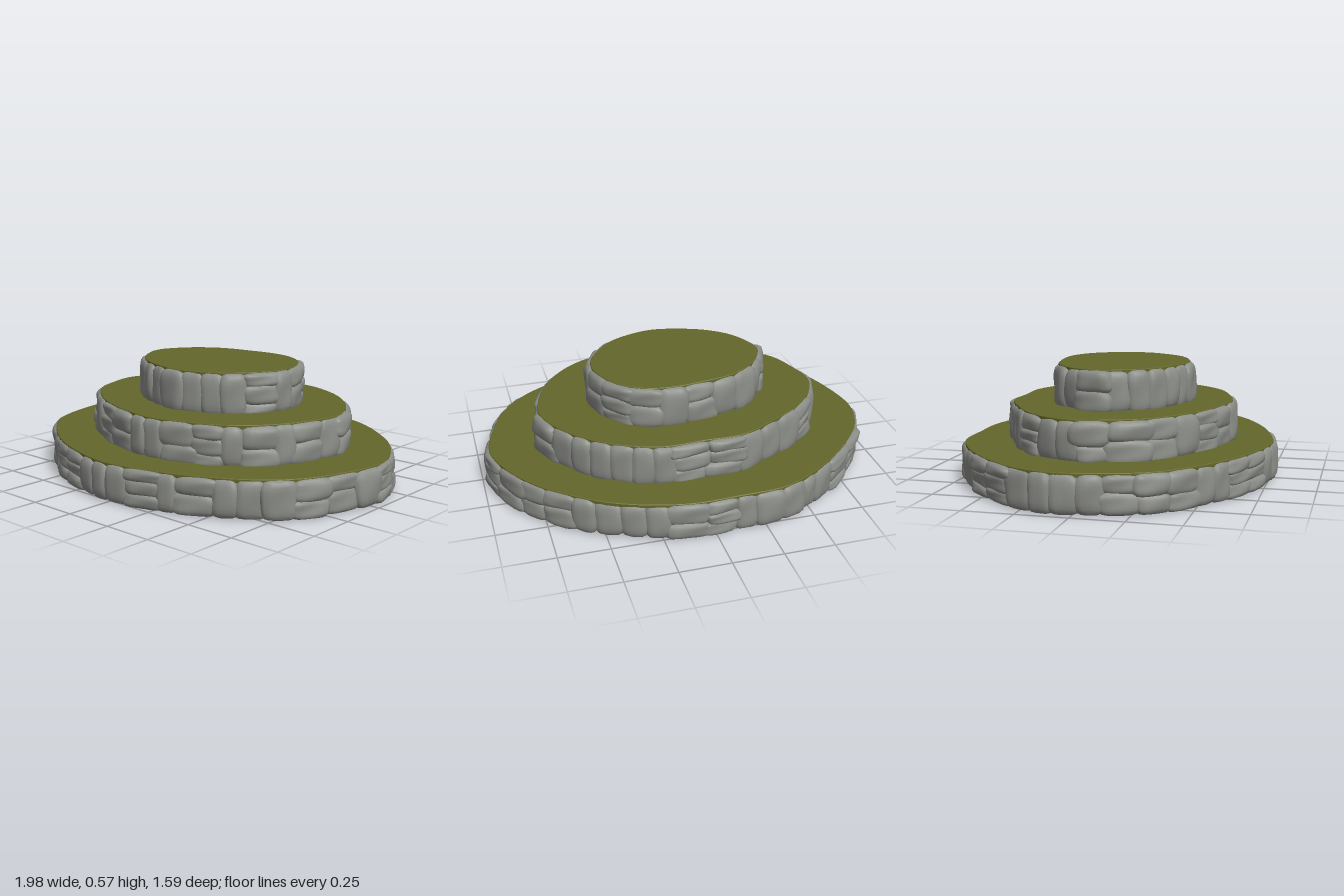
import * as THREE from 'three';
import { mergeGeometries, mergeVertices } from 'three/addons/utils/BufferGeometryUtils.js';

// Small seeded random generator
function seeded(seed) {
  let s = seed;
  return () => {
    s = (s * 1664525 + 1013904223) % 4294967296;
    return s / 4294967296;
  };
}

// Wavy oval outlines (x, z), one per terrace
const TIERS = [
  { name: 'lower', base: 0, top: 0.19, inset: 0.024, seed: 11, outline: [
    0.98, -0.05, 0.92, -0.25, 0.8, -0.43, 0.66, -0.56, 0.5, -0.67, 0.3, -0.75, 0.1, -0.79, -0.1, -0.785,
    -0.34, -0.77, -0.5, -0.7, -0.65, -0.6, -0.81, -0.45, -0.93, -0.29, -0.99, -0.09, -0.96, 0.13,
    -0.88, 0.34, -0.71, 0.51, -0.5, 0.65, -0.3, 0.73, -0.05, 0.785, 0.2, 0.75, 0.45, 0.67,
    0.7, 0.53, 0.85, 0.37, 0.93, 0.18] },
  { name: 'middle', base: 0.19, top: 0.38, inset: 0.028, seed: 23, outline: [
    0.73, -0.07, 0.68, -0.22, 0.56, -0.38, 0.4, -0.5, 0.2, -0.575, 0, -0.57, -0.2, -0.565, -0.4, -0.47,
    -0.57, -0.36, -0.69, -0.22, -0.745, -0.07, -0.71, 0.1, -0.65, 0.24, -0.5, 0.38, -0.35, 0.47,
    -0.15, 0.54, 0.05, 0.572, 0.25, 0.53, 0.43, 0.46, 0.57, 0.34, 0.66, 0.2, 0.71, 0.06] },
  { name: 'upper', base: 0.38, top: 0.575, inset: 0.03, seed: 37, outline: [
    0.45, -0.05, 0.41, -0.18, 0.34, -0.28, 0.22, -0.35, 0.1, -0.37, -0.05, -0.355, -0.22, -0.32,
    -0.35, -0.24, -0.43, -0.14, -0.47, -0.03, -0.43, 0.1, -0.36, 0.2, -0.25, 0.28, -0.12, 0.33,
    0.02, 0.355, 0.15, 0.33, 0.29, 0.26, 0.38, 0.16, 0.435, 0.06] },
];

// Position and outward direction at a fraction of the way round the outline
function frameAt(curve, u) {
  const t = ((u % 1) + 1) % 1;
  const point = curve.getPointAt(t);
  const tan = curve.getTangentAt(t);
  return { point, out: new THREE.Vector3(-tan.z, 0, tan.x).normalize() };
}

// Sphere squared off into a rounded, slightly lumpy boulder
function boulder(width, height, depth, rand) {
  const geo = new THREE.SphereGeometry(1, 22, 16);
  geo.deleteAttribute('uv');
  geo.deleteAttribute('normal');
  const stone = mergeVertices(geo, 1e-4);
  const pos = stone.attributes.position;
  const phase = rand() * 6.28, phase2 = rand() * 6.28;
  const power = 3.4 + rand() * 1.6;
  const v = new THREE.Vector3();
  for (let i = 0; i < pos.count; i++) {
    v.fromBufferAttribute(pos, i);
    const len = Math.pow(
      Math.abs(v.x) ** power + Math.abs(v.y) ** power + Math.abs(v.z) ** power, 1 / power);
    v.divideScalar(len);
    const lump = 1 + 0.05 * Math.sin(v.x * 2.6 + v.y * 1.9 + phase);
    const bulge = 1 + 0.09 * Math.sin(v.y * 2.3 - v.x * 2 + phase2);
    pos.setXYZ(i, v.x * width / 2 * lump, v.y * height / 2, v.z * depth / 2 * bulge);
  }
  return stone;
}

// Ring of boulders, some full height and some stacked in rows
function stoneRing(tier, curve, rand) {
  const stones = [];
  const total = curve.getLength();
  const cells = [];
  let sum = 0;
  while (sum < total - 0.06) {
    const rows = rand() < 0.3 ? (rand() < 0.35 ? 3 : 2) : 1;
    const width = rows > 1 ? 0.14 + rand() * 0.05 : 0.095 + rand() * 0.055;
    cells.push({ rows, width });
    sum += width;
  }
  let along = 0;
  for (const cell of cells) {
    const width = cell.width * total / sum;
    const bottom = tier.base - (tier.base > 0 ? 0.014 + rand() * 0.01 : 0);
    const height = tier.top - 0.004 - bottom;
    const cuts = [0];
    for (let r = 1; r < cell.rows; r++) cuts.push((r + (rand() - 0.5) * 0.35) / cell.rows);
    cuts.push(1);
    for (let r = 0; r < cell.rows; r++) {
      // Neighbouring stones overlap a little, with no gaps in the wall
      const low = bottom + height * cuts[r] - (r > 0 ? 0.008 : 0);
      const high = bottom + height * cuts[r + 1] + (r < cell.rows - 1 ? 0.008 : 0);
      const shift = cell.rows > 1 ? (rand() - 0.5) * 0.03 : 0;
      const { point, out } = frameAt(curve, (along + width / 2 + shift) / total);
      const depth = 0.095 + rand() * 0.02;
      const stone = boulder(width * 1.2 + Math.abs(shift), high - low, depth, rand);
      stone.rotateY(Math.atan2(out.x, out.z) + (rand() - 0.5) * 0.12);
      const back = depth / 2 + (rand() - 0.4) * 0.012;
      stone.translate(point.x - out.x * back, (low + high) / 2, point.z - out.z * back);
      stone.computeVertexNormals();
      stones.push(stone);
    }
    along += width;
  }
  return mergeGeometries(stones);
}

// Thin turf slab filling the ring
function turfSlab(tier, curve) {
  const pts = [];
  for (let i = 0; i < 110; i++) {
    const { point, out } = frameAt(curve, i / 110);
    pts.push(new THREE.Vector2(point.x - out.x * tier.inset, -(point.z - out.z * tier.inset)));
  }
  const geo = new THREE.ExtrudeGeometry(new THREE.Shape(pts), {
    depth: 0.014, bevelEnabled: true, bevelThickness: 0.003, bevelSize: 0.003, bevelSegments: 1 });
  geo.rotateX(-Math.PI / 2);
  geo.translate(0, tier.top - 0.017, 0);
  return geo;
}

export function createModel() {
  const stoneMat = new THREE.MeshStandardMaterial({ color: 0x8b8d88 });
  stoneMat.name = 'grey stone';
  const turfMat = new THREE.MeshStandardMaterial({ color: 0x64672b });
  turfMat.name = 'olive turf';

  const model = new THREE.Group();
  model.name = 'terracedMound';
  for (const tier of TIERS) {
    const points = [];
    for (let i = 0; i < tier.outline.length; i += 2) {
      points.push(new THREE.Vector3(tier.outline[i], 0, tier.outline[i + 1]));
    }
    const curve = new THREE.CatmullRomCurve3(points, true);
    const group = new THREE.Group();
    group.name = tier.name + 'Terrace';
    const wall = new THREE.Mesh(stoneRing(tier, curve, seeded(tier.seed)), stoneMat);
    wall.name = tier.name + 'StoneWall';
    const turf = new THREE.Mesh(turfSlab(tier, curve), turfMat);
    turf.name = tier.name + 'Turf';
    group.add(wall, turf);
    model.add(group);
  }
  return model;
}
